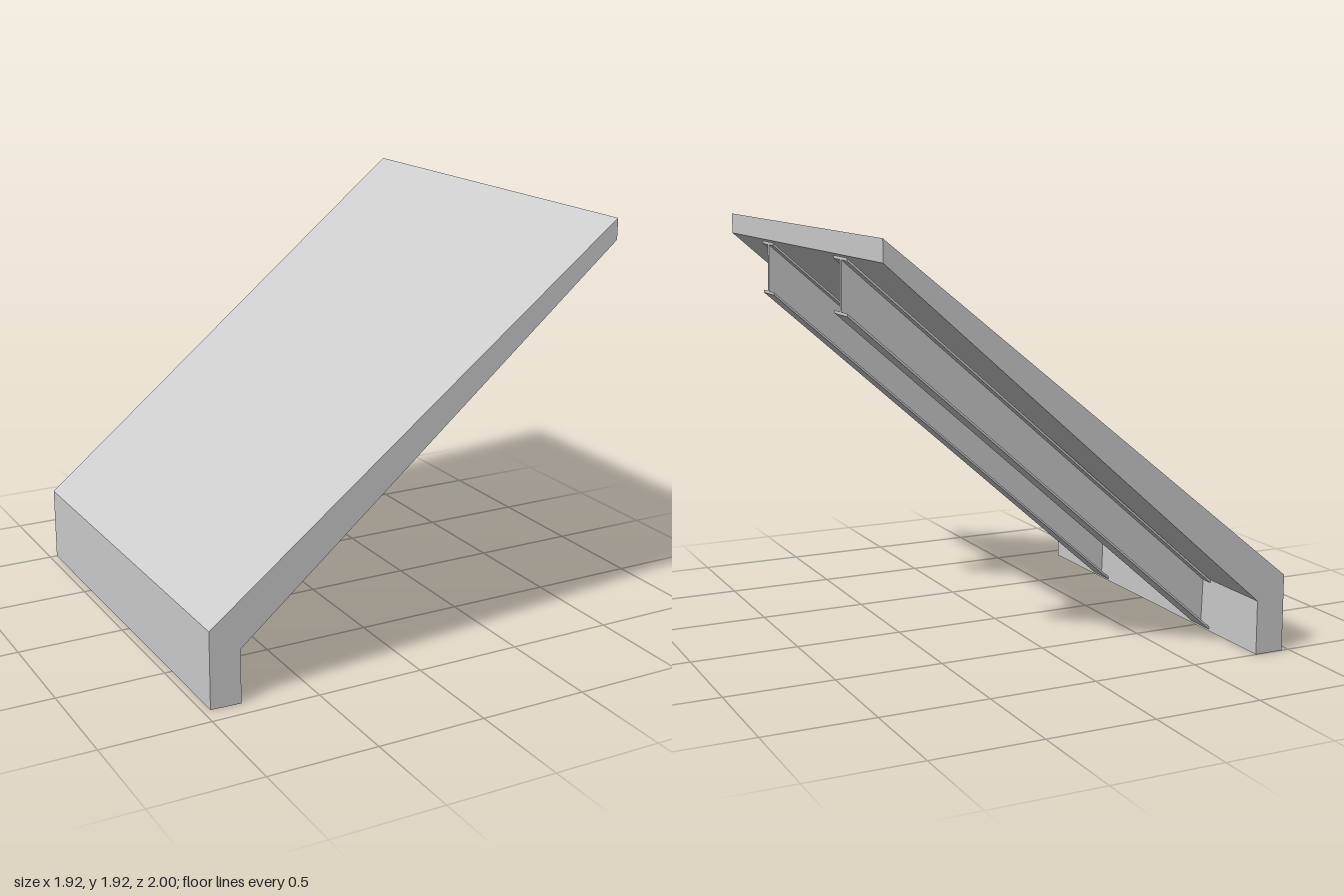
import * as THREE from 'three';

const material = new THREE.MeshStandardMaterial({ color: 0xcccccc });

const polygon = (points) => new THREE.Shape(points.map(([a, b]) => new THREE.Vector2(a, b)));

// Move every vertex by a rule, then refresh the flat normals
function deform(geometry, rule) {
  const p = geometry.attributes.position;
  const v = new THREE.Vector3();
  for (let i = 0; i < p.count; i++) {
    v.fromBufferAttribute(p, i);
    rule(v);
    p.setXYZ(i, v.x, v.y, v.z);
  }
  geometry.computeVertexNormals();
  return geometry;
}

function part(name, geometry) {
  const mesh = new THREE.Mesh(geometry, material);
  mesh.name = name;
  return mesh;
}

// Sloping roof slab with a hanging lip at its low edge; the front side is skewed
function roofSlab() {
  const profile = polygon([
    [-0.965, 0], [-0.825, 0], [-0.825, 0.25],
    [0.955, 1.825], [0.955, 1.92], [-0.965, 0.355],
  ]);
  const geometry = new THREE.ExtrudeGeometry(profile, { depth: 2, bevelEnabled: false });
  geometry.translate(0, 0, -1);
  return deform(geometry, (v) => {
    if (v.z > 0) v.z = 0.905 + (v.x + 0.965) * 0.0495;
  });
}

// I-section rafter with a slightly leaning web, sheared to follow the slope
function rafter(z) {
  const w = 0.077, h = 0.241, t = 0.013, web = 0.009, lean = 0.006;
  const section = polygon([
    [-w, 0], [w, 0], [w, t],
    [web - lean, t], [web + lean, h - t],
    [w, h - t], [w, h], [-w, h], [-w, h - t],
    [-web + lean, h - t], [-web - lean, t], [-w, t],
  ]);
  const start = -0.825, end = 0.96, slope = 0.879;
  const geometry = new THREE.ExtrudeGeometry(section, { depth: end - start, bevelEnabled: false });
  geometry.rotateY(Math.PI / 2).translate(start, 0.008, z);
  return deform(geometry, (v) => { v.y += (v.x - start) * slope; });
}

export function createModel() {
  const model = new THREE.Group();
  model.name = 'slopedRoof';
  model.add(part('roofSlab', roofSlab()));
  model.add(part('frontRafter', rafter(0.42)));
  model.add(part('backRafter', rafter(-0.54)));
  return model;
}
